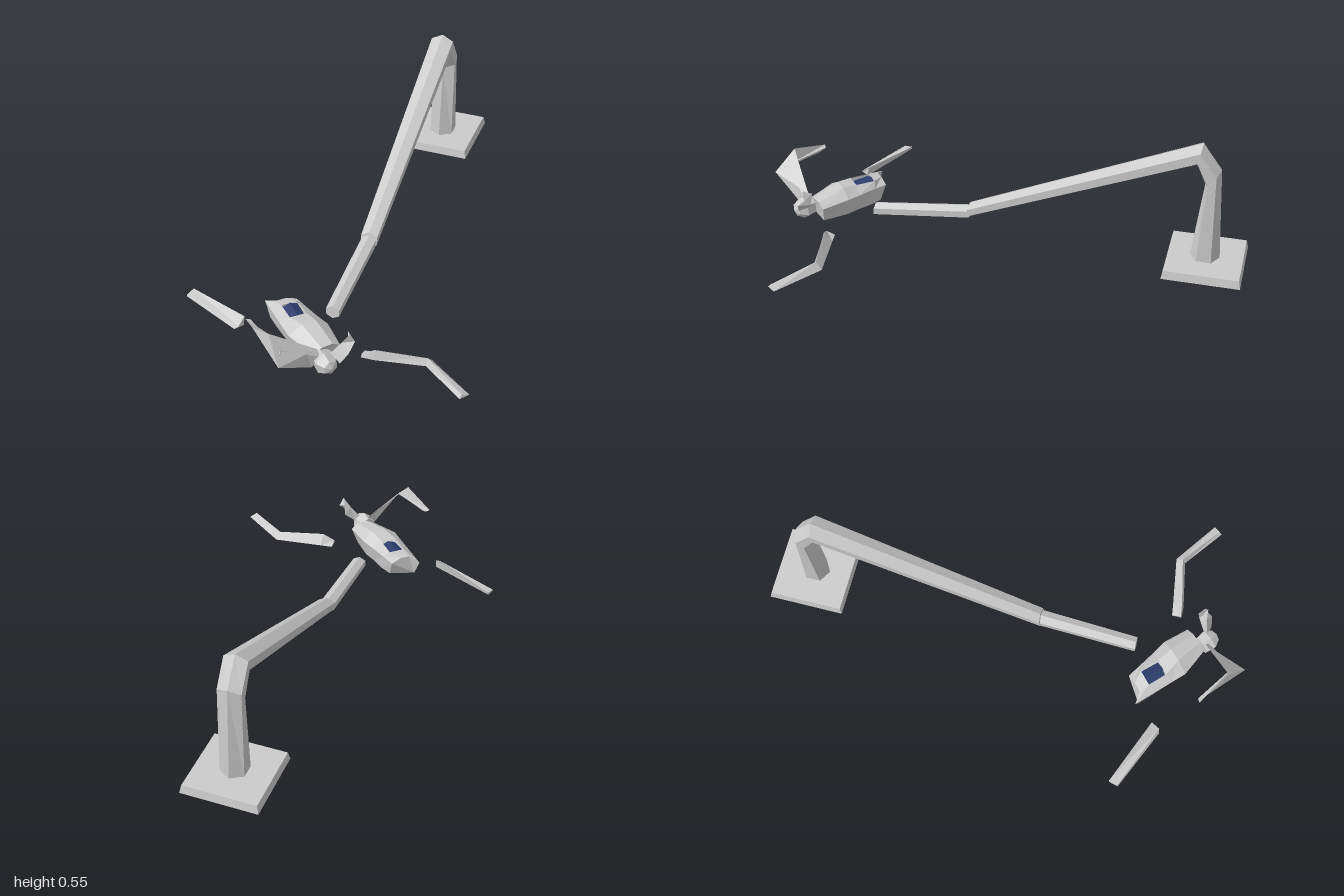
import * as THREE from 'three';

// Flat-shaded skin over a row of cross-sections; skip(i, j) leaves a panel open.
function loft(name, sections, { color = 0xcccccc, skip = () => false } = {}) {
  const n = sections[0].length;
  const last = sections.length - 1;
  let tris = [];
  for (let i = 0; i < last; i++) {
    for (let j = 0; j < n; j++) {
      if (skip(i, j)) continue;
      const k = (j + 1) % n;
      const [a, b, c, d] = [sections[i][j], sections[i][k], sections[i + 1][k], sections[i + 1][j]];
      tris.push([a, b, c], [a, c, d]);
    }
  }
  for (let j = 1; j < n - 1; j++) {
    tris.push([sections[0][0], sections[0][j + 1], sections[0][j]]);
    tris.push([sections[last][0], sections[last][j], sections[last][j + 1]]);
  }
  // Turn all faces outward
  const v = (p) => new THREE.Vector3(...p);
  const mid = v(sections[0][0]);
  const volume = tris.reduce((s, [a, b, c]) =>
    s + v(a).sub(mid).dot(v(b).sub(mid).cross(v(c).sub(mid))), 0);
  if (volume < 0) tris = tris.map(([a, b, c]) => [a, c, b]);
  const geo = new THREE.BufferGeometry();
  geo.setAttribute('position', new THREE.Float32BufferAttribute(tris.flat(2), 3));
  geo.computeVertexNormals();
  const mesh = new THREE.Mesh(geo, new THREE.MeshStandardMaterial({
    color, flatShading: true, side: THREE.DoubleSide,
  }));
  mesh.name = name;
  return mesh;
}

// Hexagonal ring across the tower, given its two ridge points [y, z] and half width.
const TOWER_X = -0.011;
function hexRing([y0, z0], [y1, z1], w) {
  const at = (x, t) => [TOWER_X + x, y0 + (y1 - y0) * t, z0 + (z1 - z0) * t];
  return [at(0, 0), at(w, 0.25), at(w, 0.75), at(0, 1), at(-w, 0.75), at(-w, 0.25)];
}

// Square ring for the foundation slab
const slabRing = (y, h) => [[-1, -1], [1, -1], [1, 1], [-1, 1]]
  .map(([x, z]) => [-0.0125 + x * h, y, -0.843 + z * h]);

export function createModel() {
  const model = new THREE.Group();
  model.name = 'collapsedWindTurbine';

  // Foundation
  model.add(loft('foundation', [slabRing(0, 0.157), slabRing(0.035, 0.15)]));

  // Tower, buckled over towards the front, and its broken-off top piece
  model.add(loft('bentTower', [
    hexRing([0.03, -0.9], [0.03, -0.78], 0.05),
    hexRing([0.44, -0.878], [0.368, -0.818], 0.048),
    hexRing([0.547, -0.8], [0.455, -0.78], 0.048),
    hexRing([0.137, 0.135], [0.07, 0.15], 0.034),
  ]));
  model.add(loft('towerTop', [
    hexRing([0.125, 0.13], [0.068, 0.135], 0.03),
    hexRing([0.075, 0.545], [0.02, 0.55], 0.027),
  ]));

  // Nacelle: bottom, shoulder and roof points of each section, with an open hatch
  model.add(loft('nacelle', [
    [[-0.245, 0.005, 0.612], [-0.27, 0.073, 0.6], [-0.22, 0.092, 0.605],
      [-0.19, 0.092, 0.578], [-0.16, 0.075, 0.548], [-0.145, 0.005, 0.57]],
    [[-0.2, 0.005, 0.655], [-0.22, 0.077, 0.65], [-0.185, 0.102, 0.635],
      [-0.135, 0.102, 0.59], [-0.11, 0.078, 0.58], [-0.1, 0.005, 0.595]],
    [[-0.13, 0.005, 0.715], [-0.15, 0.081, 0.72], [-0.125, 0.108, 0.695],
      [-0.075, 0.108, 0.65], [-0.04, 0.081, 0.625], [-0.045, 0.005, 0.64]],
    [[-0.085, 0.005, 0.755], [-0.1, 0.085, 0.77], [-0.06, 0.12, 0.73],
      [-0.02, 0.12, 0.69], [0.013, 0.085, 0.656], [0, 0.005, 0.67]],
    [[0.02, 0.005, 0.8], [0.02, 0.075, 0.825], [0.045, 0.095, 0.8],
      [0.075, 0.095, 0.765], [0.095, 0.075, 0.74], [0.07, 0.005, 0.75]],
  ], { skip: (i, j) => i === 1 && j === 2 }));

  // Machinery showing in the hatch
  model.add(loft('machinery', [
    [[-0.182, 0.093, 0.637], [-0.16, 0.104, 0.612], [-0.137, 0.093, 0.592], [-0.16, 0.06, 0.612]],
    [[-0.125, 0.09, 0.69], [-0.1, 0.1, 0.672], [-0.08, 0.09, 0.65], [-0.1, 0.06, 0.672]],
  ], { color: 0x2b3d6b }));

  // Hub with a blunt spinner, along the nacelle axis
  const profile = [[0, -0.04], [0.04, -0.04], [0.047, 0], [0.028, 0.032], [0, 0.044]]
    .map(([r, y]) => new THREE.Vector2(r, y));
  const hub = new THREE.Mesh(
    new THREE.LatheGeometry(profile, 6),
    new THREE.MeshStandardMaterial({ color: 0xcccccc, flatShading: true }),
  );
  hub.name = 'hub';
  hub.position.set(0.077, 0.06, 0.835);
  hub.quaternion.setFromUnitVectors(
    new THREE.Vector3(0, 1, 0), new THREE.Vector3(0.78, 0.05, 0.62).normalize());
  model.add(hub);

  // Blade stumps still on the hub
  model.add(loft('bentBlade', [
    [[0.038, 0.108, 0.825], [0.03, 0.05, 0.865], [0.055, 0.085, 0.835]],
    [[-0.105, 0.23, 0.932], [-0.04, 0.142, 1.0], [-0.055, 0.175, 0.945]],
    [[-0.235, 0.19, 0.845], [-0.2, 0.167, 0.86], [-0.22, 0.185, 0.835]],
  ]));
  model.add(loft('shortBlade', [
    [[0.088, 0.1, 0.82], [0.13, 0.075, 0.835], [0.105, 0.08, 0.805]],
    [[0.127, 0.15, 0.805], [0.16, 0.118, 0.825], [0.14, 0.12, 0.775]],
    [[0.158, 0.193, 0.8], [0.173, 0.155, 0.788], [0.138, 0.175, 0.765]],
  ]));

  // Blade pieces lying on the ground
  model.add(loft('fallenBladeTip', [
    [[-0.348, 0.006, 0.722], [-0.332, 0.02, 0.718], [-0.321, 0.046, 0.682], [-0.323, 0.006, 0.688]],
    [[-0.605, 0.006, 0.607], [-0.605, 0.013, 0.603], [-0.594, 0.018, 0.567], [-0.595, 0.006, 0.569]],
  ]));
  model.add(loft('fallenBlade', [
    [[0.165, 0.006, 0.708], [0.165, 0.02, 0.703], [0.165, 0.006, 0.667]],
    [[0.215, 0.006, 0.706], [0.215, 0.047, 0.695], [0.215, 0.006, 0.661]],
    [[0.41, 0.006, 0.672], [0.412, 0.035, 0.658], [0.42, 0.006, 0.632]],
    [[0.578, 0.006, 0.797], [0.582, 0.02, 0.785], [0.605, 0.006, 0.762]],
  ]));

  return model;
}
